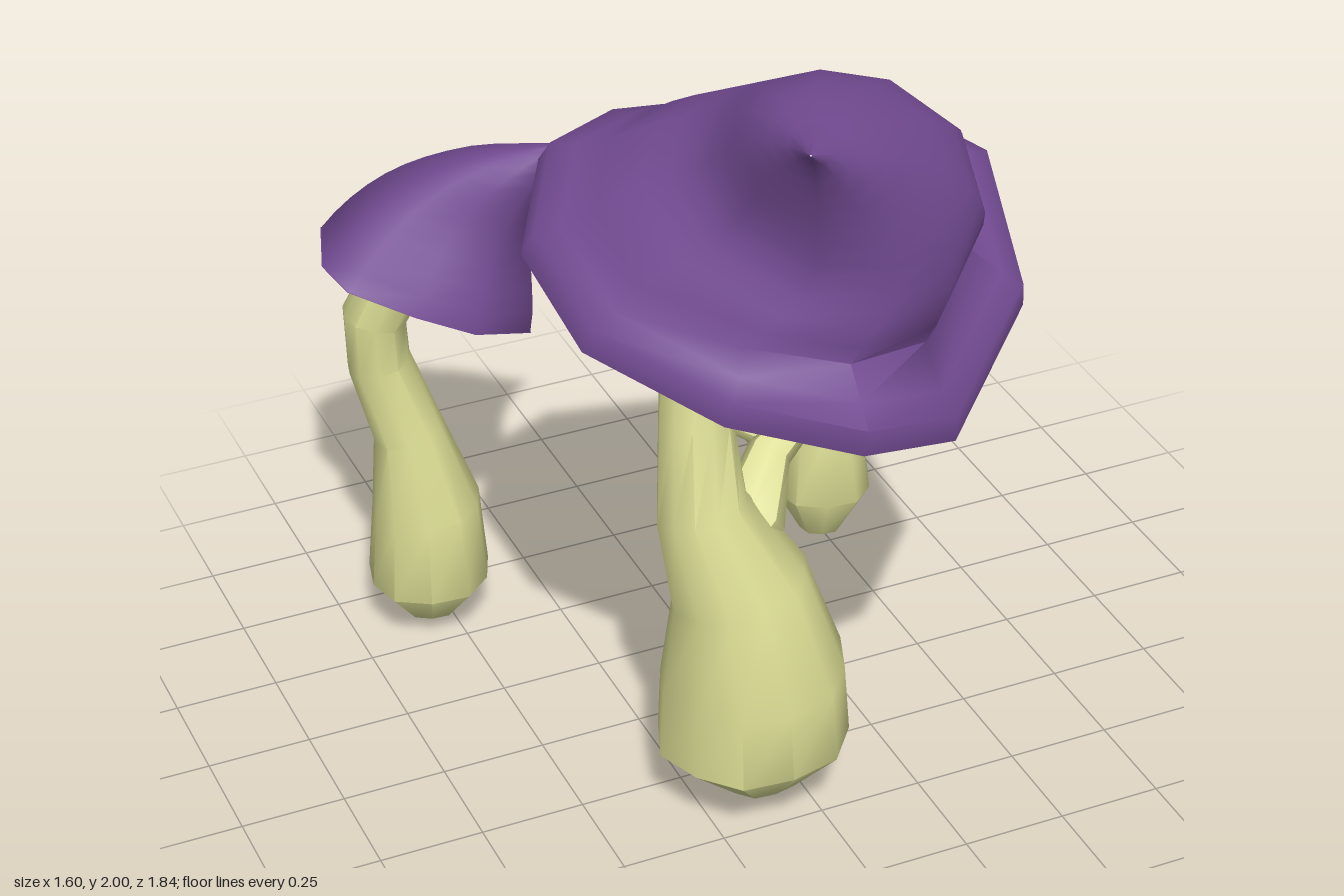
import * as THREE from 'three';
import { toCreasedNormals } from 'three/addons/utils/BufferGeometryUtils.js';

const V = (a) => new THREE.Vector3(...a);
const capMat = new THREE.MeshStandardMaterial({ color: 0x744c94 });
const gillMat = new THREE.MeshStandardMaterial({ color: 0x3c0a38 });
const stemMat = new THREE.MeshStandardMaterial({ color: 0xd8da92 });

// Skin a list of closed rings (rings run from +x towards +z, stacked upwards)
function loft(name, rings, material, crease) {
  const n = rings[0].length, index = [];
  for (let i = 0; i < rings.length - 1; i++) {
    for (let j = 0; j < n; j++) {
      const a = i * n + j, b = i * n + (j + 1) % n;
      index.push(a, a + n, b, b, a + n, b + n);
    }
  }
  const geo = new THREE.BufferGeometry().setFromPoints(rings.flat());
  geo.setIndex(index);
  const mesh = new THREE.Mesh(toCreasedNormals(geo, crease), material);
  mesh.name = name;
  return mesh;
}

// Ring of points round a centre, square to an axis
function ringAt(center, axis, radius, sides, ridge = 1) {
  const t = axis.clone().normalize();
  const u = t.clone().cross(new THREE.Vector3(0, 0, 1)).normalize();
  const v = u.clone().cross(t);
  return Array.from({ length: sides }, (_, j) => {
    const a = (j / sides) * Math.PI * 2, r = radius * (j % 2 ? ridge : 1);
    return center.clone().addScaledVector(u, r * Math.cos(a)).addScaledVector(v, r * Math.sin(a));
  });
}

// Ridged stalk through rows of [x, y, z, radius], closed at the foot
function stalk(name, rows, sides) {
  const pts = rows.map((r) => V(r.slice(0, 3)));
  const rings = rows.map((r, i) => {
    const axis = pts[Math.min(i + 1, pts.length - 1)].clone().sub(pts[Math.max(i - 1, 0)]);
    if (i === 0) axis.set(0, 1, 0).lerp(pts[1].clone().sub(pts[0]).normalize(), 0.5);
    return ringAt(pts[i], axis, r[3], sides, 0.95);
  });
  rings.unshift(rings[0].map((p) => p.clone().lerp(pts[0], 0.999)));
  return loft(name, rings, stemMat, 0.8);
}

// Hooked cap: rim loop, then cone sections [x, y, z, scale]; lip is the brim thickness
function cap(name, rim, sections, lip) {
  const g = new THREE.Group();
  g.name = name;
  const c = rim.reduce((s, p) => s.add(p), new THREE.Vector3()).divideScalar(rim.length);
  const off = rim.map((p) => p.clone().sub(c));
  const size = off.reduce((s, o) => s + o.length(), 0) / off.length;
  const up = new THREE.Vector3();
  off.forEach((o, i) => up.sub(o.clone().cross(off[(i + 1) % off.length])));
  up.normalize();
  const lift = (h) => c.clone().addScaledVector(up, h);
  const raised = (s, h) => off.map((o) => lift(h).addScaledVector(o, s));
  // Sections grow rounder towards the tip
  const section = (center, s) => off.map((o) => {
    const round = o.clone().projectOnPlane(up).setLength(size);
    return center.clone().addScaledVector(o.clone().lerp(round, Math.min(1, (1 - s) * 1.5)), s);
  });

  // Brim flares out below the cone when there is a lip
  const rings = [rim];
  if (lip) rings.push(raised(0.97, lip), raised(0.87, lip * 1.45));
  const keys = [[...lift(lip * 2.3).toArray(), lip ? 0.75 : 0.99], ...sections];
  const path = new THREE.CatmullRomCurve3(keys.map((k) => V(k.slice(0, 3))));
  const sizes = new THREE.SplineCurve(keys.map((k, i) => new THREE.Vector2(i, k[3])));
  const steps = 12;
  for (let i = 0; i <= steps; i++) {
    const t = i / steps;
    rings.push(section(path.getPoint(t), Math.max(0.004, sizes.getPoint(t).y)));
  }
  g.add(loft('capTop', rings, capMat, 1.1));

  // Nearly flat underside with a thin coloured edge
  const inner = raised(0.94, 0.01 * size);
  g.add(loft('capEdge', [inner, rim], capMat, 0.6));
  g.add(loft('capUnderside', [raised(0.004, -0.03 * size), raised(0.6, -0.01 * size), inner], gillMat, 0.9));
  return g;
}

// Small bell cap with a round rim leaning along an axis
function smallCap(name, center, axis, radius, tip) {
  const c = V(center), t = V(tip), a = V(axis).normalize();
  const mid = c.clone().lerp(t, 0.3).addScaledVector(a, radius * 0.26);
  const high = c.clone().lerp(t, 0.64).addScaledVector(a, radius * 0.2);
  return cap(name, ringAt(c, a, radius, 9),
    [[...mid.toArray(), 0.7], [...high.toArray(), 0.38], [...tip, 0]], 0);
}

function mushroom(name, ...parts) {
  const g = new THREE.Group();
  g.name = name;
  g.add(...parts);
  return g;
}

export function createModel() {
  const model = new THREE.Group();
  model.name = 'mushroomCluster';

  model.add(mushroom('largeMushroom',
    stalk('largeStem', [
      [-0.1, 0.05, 0.365, 0.1], [-0.115, 0.19, 0.365, 0.235], [-0.12, 0.36, 0.37, 0.225],
      [-0.15, 0.6, 0.36, 0.165], [-0.225, 0.8, 0.325, 0.11], [-0.215, 1.0, 0.275, 0.09],
      [-0.18, 1.15, 0.23, 0.1], [-0.13, 1.3, 0.22, 0.095], [-0.09, 1.41, 0.28, 0.095],
      [-0.06, 1.52, 0.39, 0.09]], 12),
    cap('largeCap', [
      [-0.59, 1.48, 0.2], [-0.47, 1.59, 0.01], [-0.29, 1.6, -0.06], [0, 1.6, 0],
      [0.27, 1.6, 0.06], [0.46, 1.52, 0.33], [0.43, 1.31, 0.58], [0.2, 1.1, 0.72],
      [-0.11, 1.25, 0.9], [-0.36, 1.3, 0.75], [-0.57, 1.39, 0.49]].map(V),
    [[-0.01, 1.71, 0.54, 0.58], [-0.1, 1.88, 0.7, 0.31], [-0.25, 2.0, 0.92, 0]], 0.07),
    stalk('largeBranch', [
      [-0.17, 0.66, 0.33, 0.07], [-0.09, 0.73, 0.3, 0.085], [-0.01, 0.83, 0.22, 0.055],
      [0.13, 0.9, 0.16, 0.038], [0.19, 0.96, 0.18, 0.035], [0.19, 1.02, 0.2, 0.03]], 8),
    smallCap('largeBranchCap', [0.17, 1.0, 0.2], [0.38, 0.9, 0.05], 0.168, [0.35, 1.19, 0.24])));

  model.add(mushroom('backMushroom',
    stalk('backStem', [
      [-0.56, 0.05, -0.59, 0.07], [-0.56, 0.15, -0.59, 0.155], [-0.56, 0.35, -0.59, 0.138],
      [-0.59, 0.56, -0.61, 0.09], [-0.645, 0.75, -0.64, 0.08], [-0.65, 0.88, -0.64, 0.08],
      [-0.59, 1.0, -0.62, 0.08], [-0.56, 1.03, -0.6, 0.075]], 10),
    cap('backCap', [
      [-0.8, 1.1, -0.55], [-0.71, 1.04, -0.83], [-0.55, 0.96, -0.92], [-0.38, 0.85, -0.87],
      [-0.27, 0.79, -0.68], [-0.32, 0.85, -0.46], [-0.5, 0.95, -0.35], [-0.64, 1.02, -0.37],
      [-0.78, 1.09, -0.43]].map(V),
    [[-0.45, 1.13, -0.61, 0.68], [-0.34, 1.27, -0.53, 0.35], [-0.21, 1.36, -0.43, 0]], 0)));

  model.add(mushroom('rightMushroom',
    stalk('rightStem', [
      [0.51, 0.0, -0.585, 0.06], [0.51, 0.13, -0.58, 0.133], [0.51, 0.31, -0.585, 0.107],
      [0.485, 0.44, -0.61, 0.08], [0.51, 0.6, -0.65, 0.06], [0.55, 0.7, -0.62, 0.06],
      [0.55, 0.78, -0.57, 0.055]], 10),
    cap('rightCap', [
      [0.27, 0.75, -0.62], [0.33, 0.79, -0.77], [0.44, 0.82, -0.85], [0.56, 0.83, -0.83],
      [0.77, 0.88, -0.65], [0.8, 0.81, -0.46], [0.73, 0.69, -0.35], [0.57, 0.59, -0.33],
      [0.38, 0.65, -0.33], [0.29, 0.69, -0.46]].map(V),
    [[0.5, 0.91, -0.49, 0.58], [0.42, 1.0, -0.43, 0.31], [0.3, 1.08, -0.35, 0]], 0.04),
    stalk('outerBranch', [
      [0.48, 0.34, -0.6, 0.035], [0.56, 0.4, -0.61, 0.037], [0.65, 0.45, -0.62, 0.026],
      [0.7, 0.48, -0.6, 0.022], [0.7, 0.54, -0.59, 0.018]], 8),
    smallCap('outerBranchCap', [0.69, 0.525, -0.59], [0.35, 0.92, 0.05], 0.09, [0.76, 0.64, -0.51]),
    stalk('innerBranch', [
      [0.48, 0.21, -0.61, 0.035], [0.41, 0.25, -0.63, 0.035], [0.32, 0.3, -0.65, 0.025],
      [0.26, 0.34, -0.66, 0.022], [0.25, 0.38, -0.66, 0.018]], 8),
    smallCap('innerBranchCap', [0.255, 0.355, -0.665], [-0.4, 0.9, -0.15], 0.085, [0.26, 0.5, -0.7])));

  return model;
}
